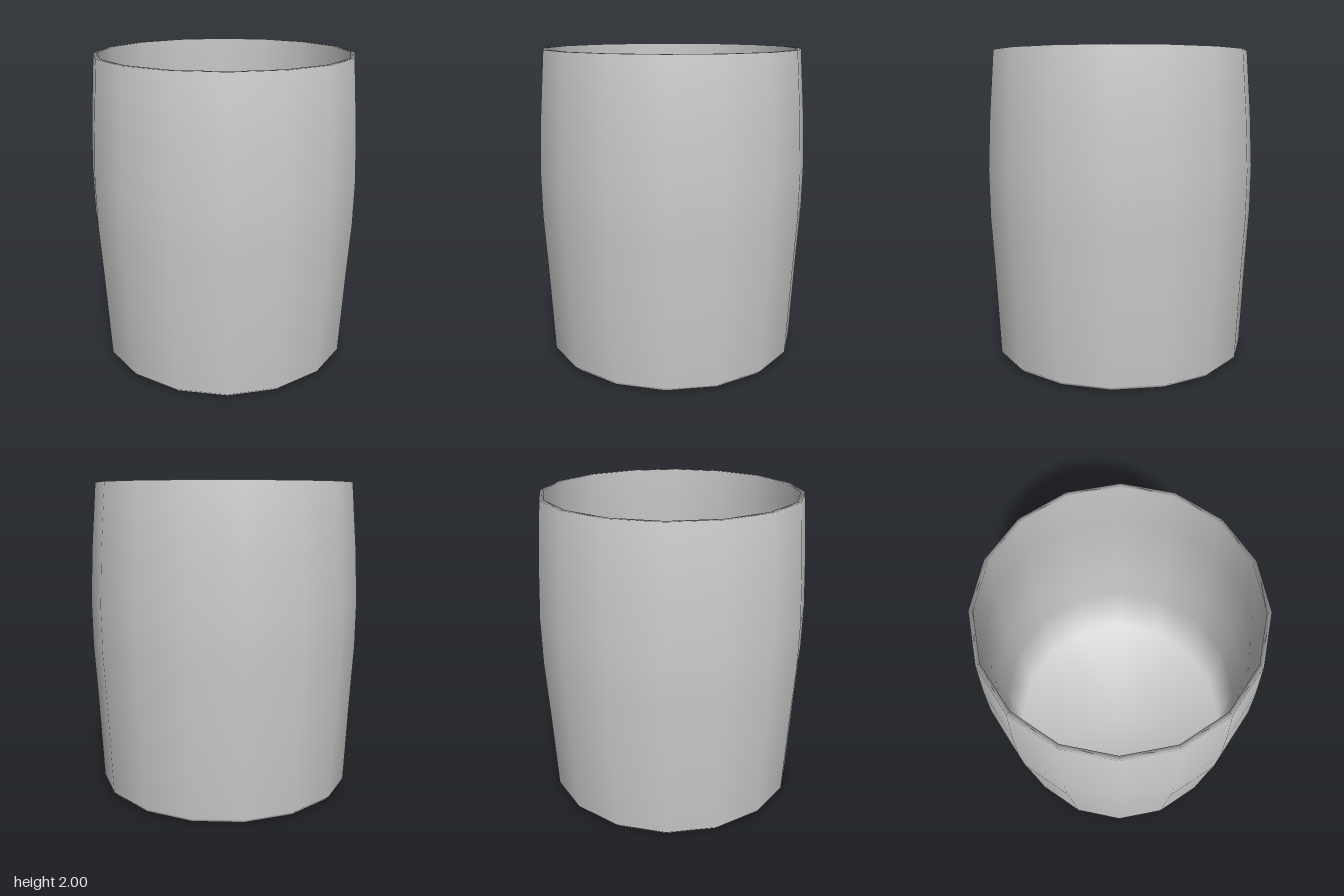
import * as THREE from 'three';

const SIDES = 16;

export function createModel() {
  const group = new THREE.Group();
  group.name = 'cup';

  // Bulging wall, bottom to top: [radius, height]
  const wall = [[0.83, 0.03], [0.857, 0.6], [0.877, 0.95], [0.88, 1.25], [0.862, 1.6], [0.83, 2]];
  const thickness = 0.027;

  // Outside from base centre up to the rim, then down the inside to the floor centre
  const inside = wall.map(([r, y]) => [r - thickness, Math.max(y, 0.04)]).reverse();
  inside[inside.length - 1][0] = 0.793;
  const profile = [[0, 0], [0.74, 0], [0.8, 0], ...wall, ...inside, [0, 0.04]];

  const geometry = new THREE.LatheGeometry(
    profile.map(([r, y]) => new THREE.Vector2(r, y)), SIDES);
  const body = new THREE.Mesh(geometry, new THREE.MeshStandardMaterial({ color: 0xcccccc }));
  body.name = 'cupBody';
  group.add(body);

  return group;
}
